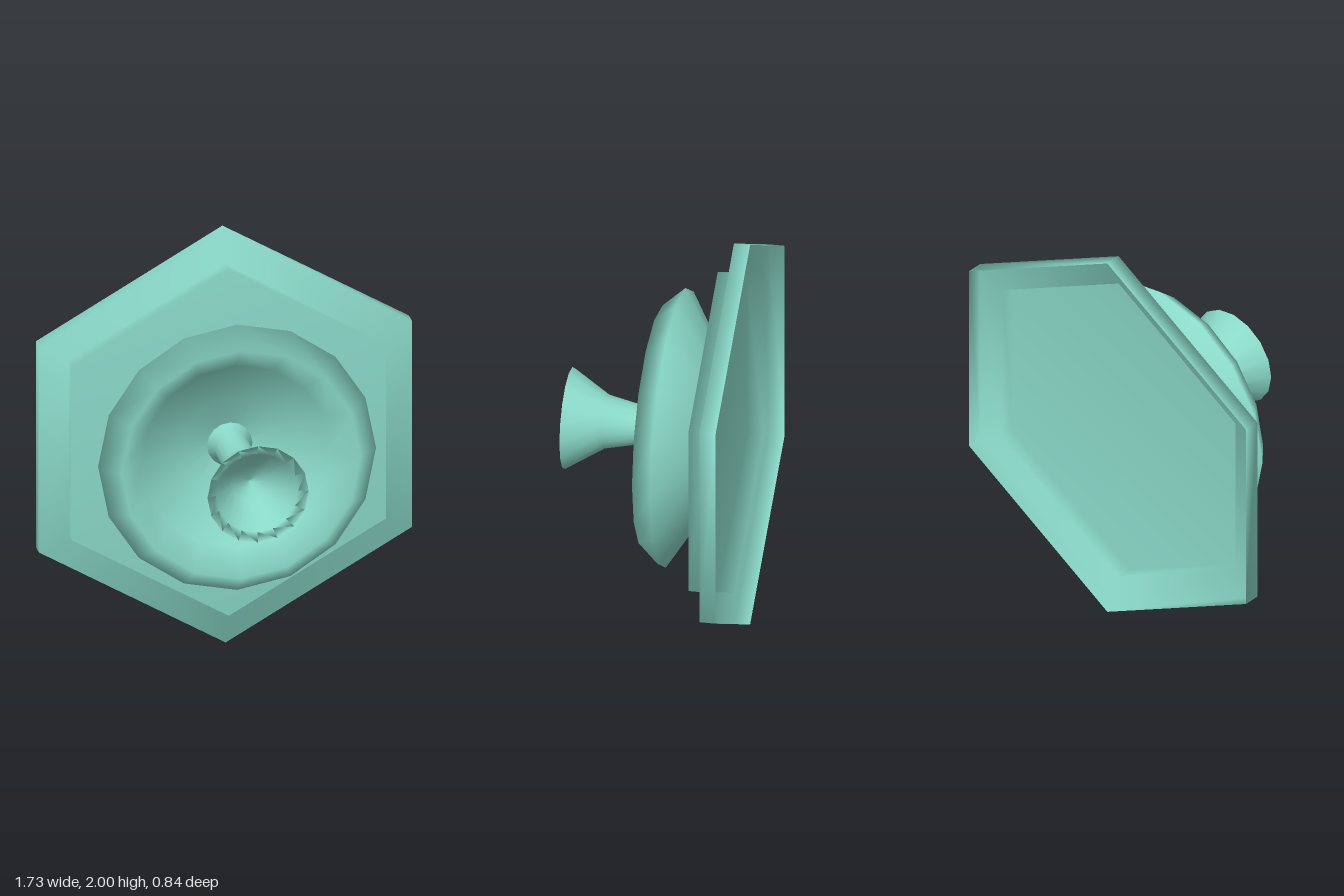
import * as THREE from 'three';

// Every part is a profile of [radius, z] points spun around the z axis
function spun(name, profile, sides, material) {
  const points = profile.map(([r, z]) => new THREE.Vector2(r, z));
  const geometry = new THREE.LatheGeometry(points, sides);
  geometry.rotateX(Math.PI / 2);
  const mesh = new THREE.Mesh(geometry, material);
  mesh.name = name;
  mesh.position.y = 1;
  return mesh;
}

export function createModel() {
  const group = new THREE.Group();
  group.name = 'hexWallFixture';
  const mint = new THREE.MeshStandardMaterial({ color: 0x8ad9c9, side: THREE.DoubleSide });
  mint.name = 'mint';

  // Stepped hexagonal backplate, a shell open at the back
  group.add(spun('backplate', [
    [1, -0.42], [1, -0.345], [0.843, -0.345], [0.843, -0.27], [0, -0.27],
  ], 6, mint));

  // Flared bowl with a bevelled rim and a hollow, funnel-like front
  group.add(spun('bowl', [
    [0.33, -0.27], [0.645, -0.075], [0.555, 0.025],
    [0.44, -0.09], [0.24, -0.2], [0.085, -0.255],
  ], 16, mint));

  // Slim stem widening into a hollow horn
  group.add(spun('hornStem', [
    [0.11, -0.26], [0.08, -0.18], [0.08, 0.025], [0.085, 0.06],
    [0.125, 0.245], [0.235, 0.42], [0.19, 0.4], [0.09, 0.27], [0, 0.23],
  ], 16, mint));

  return group;
}
